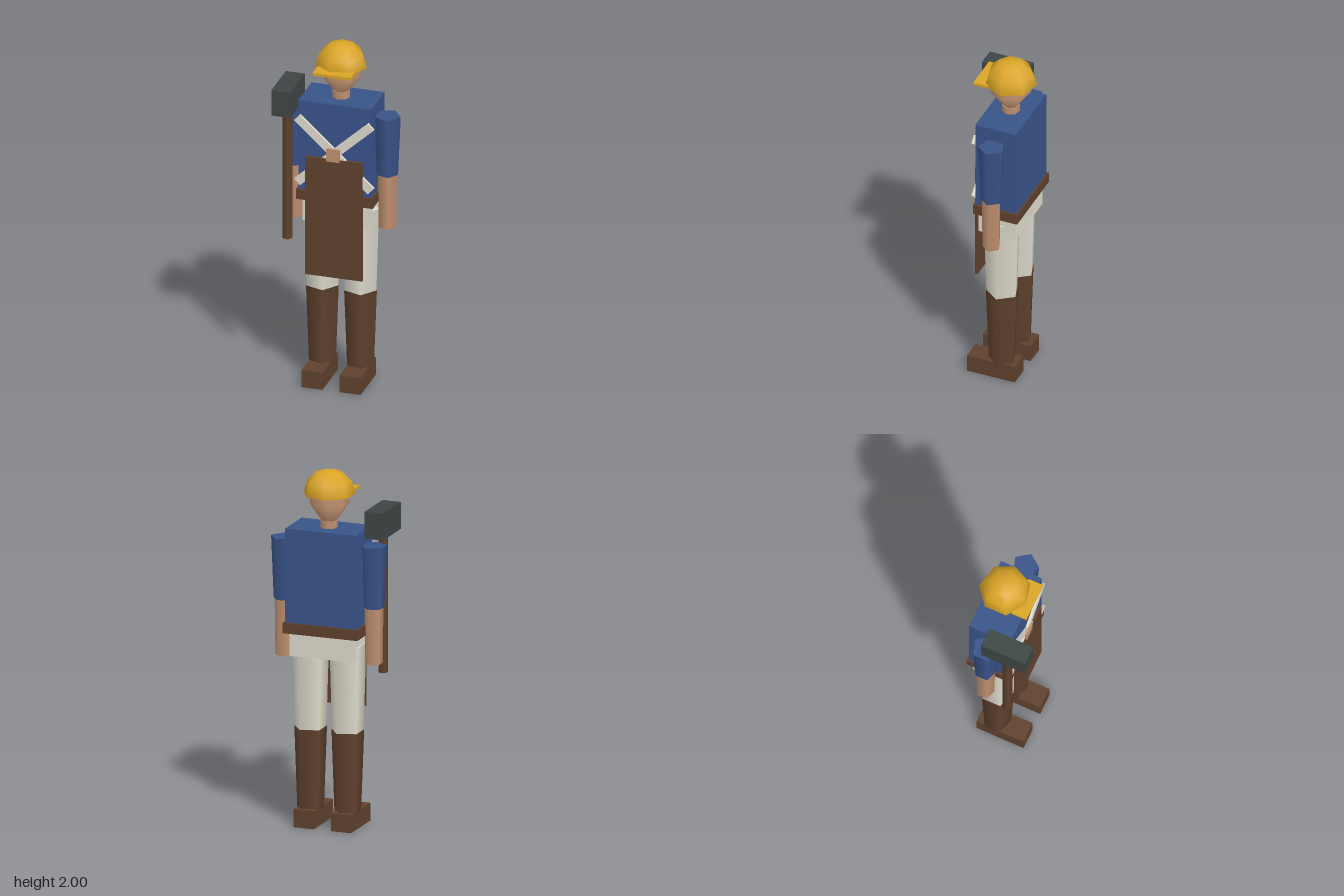
import * as THREE from 'three';

export function createModel() {
  const model = new THREE.Group();
  const paint = (name, color) => {
    const m = new THREE.MeshStandardMaterial({ color });
    m.name = name;
    return m;
  };
  const blue = paint('blue cloth', 0x395389);
  const skin = paint('skin', 0xc09070);
  const linen = paint('off-white linen', 0xdedacd);
  const leather = paint('brown leather', 0x5f412d);
  const gold = paint('yellow helmet', 0xdaa526);
  const iron = paint('dark iron', 0x3e4545);
  gold.side = THREE.DoubleSide;

  const CX = -0.008, CZ = -0.06; // body axis

  const add = (name, geometry, material, x, y, z) => {
    const mesh = new THREE.Mesh(geometry, material);
    mesh.name = name;
    mesh.position.set(x, y, z);
    model.add(mesh);
    return mesh;
  };
  // Box given by its limits on each axis
  const box = (name, material, [x0, x1], [y0, y1], [z0, z1]) =>
    add(name, new THREE.BoxGeometry(x1 - x0, y1 - y0, z1 - z0), material,
      (x0 + x1) / 2, (y0 + y1) / 2, (z0 + z1) / 2);
  // Tapered limb with a corner pointing to +x
  const limb = (name, material, x, z, y0, y1, rBottom, rTop, sides = 5) => {
    const g = new THREE.CylinderGeometry(rTop, rBottom, y1 - y0, sides);
    g.rotateY(Math.PI / 2 - 2 * Math.PI);
    const mesh = add(name, g, material, x, (y0 + y1) / 2, z);
    // the first corner sits on +z, the quarter turn brings it to +x
    return mesh;
  };

  // Trunk
  box('torso', blue, [-0.214, 0.198], [1.15, 1.675], [-0.18, 0.06]);
  box('belt', leather, [-0.225, 0.209], [1.09, 1.15], [-0.19, 0.07]);
  box('hips', linen, [CX - 0.185, CX + 0.185], [0.96, 1.09], [-0.167, 0.05]);

  // Arms and legs
  for (const [side, s] of [['left', 1], ['right', -1]]) {
    const ax = CX + s * 0.261, lx = CX + s * 0.108;
    limb(side + 'Sleeve', blue, ax, CZ, 1.25, 1.597, 0.06, 0.075);
    limb(side + 'Forearm', skin, ax, CZ, 0.937, 1.25, 0.05, 0.054);
    limb(side + 'TrouserLeg', linen, lx, CZ, 0.545, 1.03, 0.09, 0.105);
    limb(side + 'BootShaft', leather, lx, CZ, 0.09, 0.545, 0.076, 0.093);
    box(side + 'Shoe', leather, [lx - 0.059, lx + 0.059], [0, 0.1], [-0.155, 0.125]);
  }

  // Crossed straps on the chest
  for (const s of [-1, 1]) {
    const strap = add(s < 0 ? 'strapFalling' : 'strapRising',
      new THREE.BoxGeometry(0.567, 0.049, 0.015), linen, CX, 1.386, 0.0675);
    strap.rotation.z = s * 0.742;
  }

  // Apron with its bib tab
  box('apron', leather, [-0.17, 0.155], [0.655, 1.357], [0.065, 0.081]);
  box('apronTab', skin, [-0.049, 0.026], [1.345, 1.42], [0.062, 0.087]);

  // Neck and faceted head
  limb('neck', skin, CX, CZ, 1.66, 1.715, 0.05, 0.05, 7);
  const head = new THREE.SphereGeometry(0.115, 7, 2);
  head.rotateY(Math.PI);
  head.scale(1, 1.4, 1);
  add('head', head, skin, CX, 1.815, CZ);

  // Helmet dome and peak
  const dome = new THREE.SphereGeometry(0.144, 7, 3, 0, Math.PI * 2, 0, Math.PI / 2);
  dome.rotateY(Math.PI);
  dome.scale(1, 0.972, 1);
  add('helmetDome', dome, gold, CX, 1.86, CZ);
  box('helmetPeak', gold, [-0.117, 0.1], [1.859, 1.875], [0.028, 0.115]);

  // Sledgehammer
  limb('hammerHandle', leather, -0.271, 0.072, 0.855, 1.64, 0.028, 0.028);
  box('hammerHead', iron, [-0.323, -0.215], [1.63, 1.78], [-0.06, 0.2]);

  return model;
}
